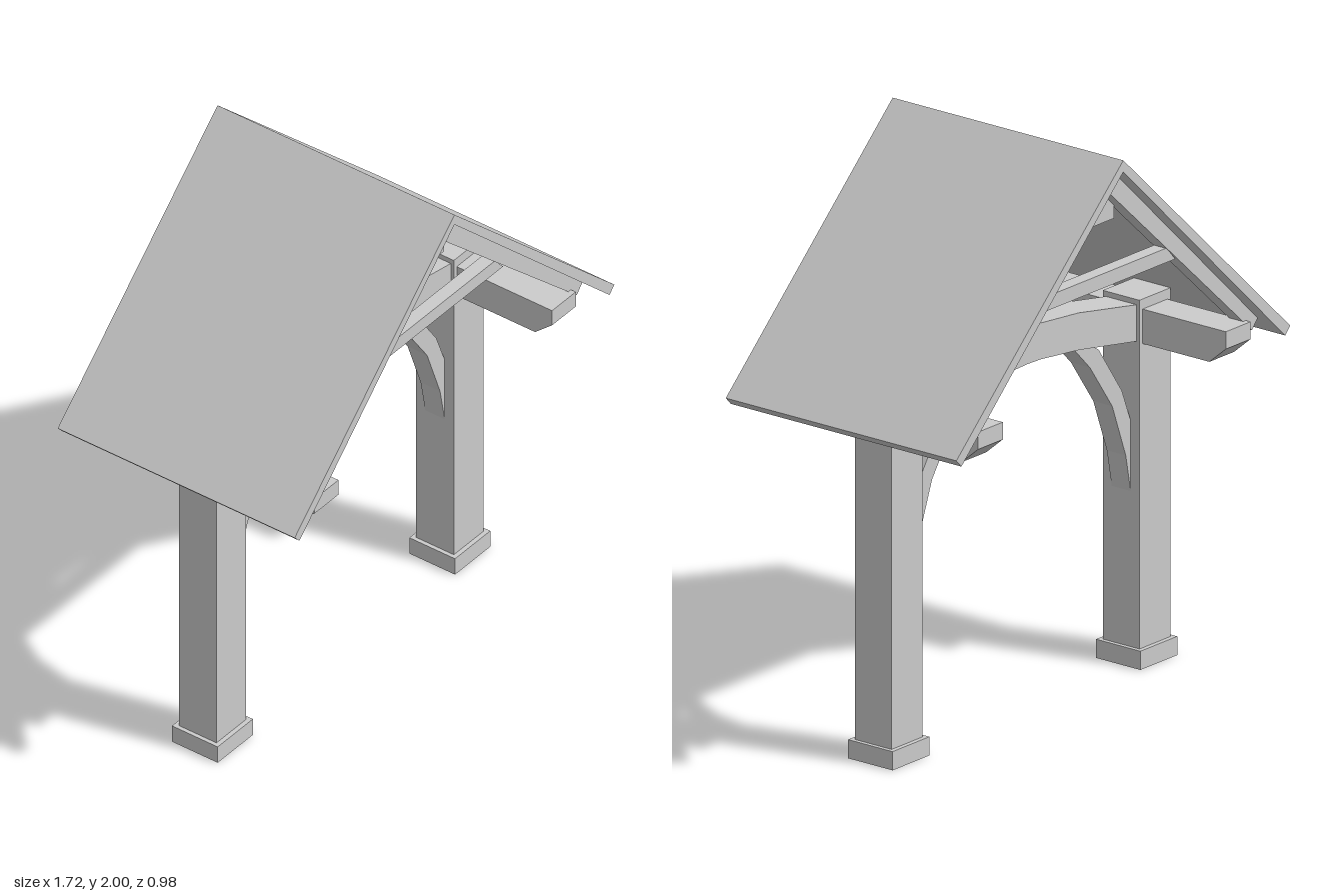
import * as THREE from 'three';

const material = new THREE.MeshStandardMaterial({ color: 0xcccccc, flatShading: true });
const FRAME_Z = -0.02; // depth position of the posts and arched truss

export function createModel() {
  const model = new THREE.Group();

  const add = (name, geometry, x = 0, y = 0, z = 0) => {
    const mesh = new THREE.Mesh(geometry, material);
    mesh.name = name;
    mesh.position.set(x, y, z);
    model.add(mesh);
    return mesh;
  };
  const box = (name, w, y0, y1, d, x = 0, z = 0) =>
    add(name, new THREE.BoxGeometry(w, y1 - y0, d), x, (y0 + y1) / 2, z);
  const shapeOf = (points) => new THREE.Shape(points.map(([x, y]) => new THREE.Vector2(x, y)));
  // Extrusion centred on its own depth
  const slab = (shape, depth) =>
    new THREE.ExtrudeGeometry(shape, { depth, bevelEnabled: false }).translate(0, 0, -depth / 2);
  const mirrorX = (points) => points.map(([x, y]) => [-x, y]);
  // Closes a right-hand outline with its reflection
  const symmetric = (top, bottom) => shapeOf([
    ...mirrorX(top).reverse(), ...top.filter(([x]) => x > 0),
    ...bottom.slice().reverse(), ...mirrorX(bottom).filter(([x]) => x < 0),
  ]);

  // Roof covering
  add('roof', slab(symmetric([[0, 2], [0.862, 1.192]], [[0, 1.96], [0.836, 1.165]]), 0.976));

  // Rafter pairs and collar ties near both gables
  for (const z of [-0.4, 0.4]) {
    add('rafters', slab(symmetric([[0, 1.961], [0.765, 1.232]], [[0, 1.872], [0.735, 1.198]]), 0.06), 0, 0, z);
    add('collarTie', slab(shapeOf([[-0.345, 1.55], [0.345, 1.55], [0.3, 1.6], [-0.3, 1.6]]), 0.05), 0, 0, z);
  }

  // Ridge beam with its top bevelled to the roof slope
  add('ridgeBeam', slab(shapeOf([
    [-0.077, 1.755], [0.077, 1.755], [0.077, 1.88], [0, 1.95], [-0.077, 1.88],
  ]), 0.77));

  // Arched tie beam and king post
  add('archedTieBeam', slab(symmetric(
    [[0, 1.33], [0.065, 1.328], [0.26, 1.31], [0.57, 1.255]],
    [[0, 1.204], [0.065, 1.202], [0.26, 1.181], [0.57, 1.128]],
  ), 0.13), 0, 0, FRAME_Z);
  box('kingPost', 0.124, 1.31, 1.77, 0.12, 0, FRAME_Z);

  // Outline of one curved brace, from post to tie beam
  const brace = [
    [0.56, 0.605], [0.535, 0.735], [0.465, 0.925], [0.35, 1.09], [0.26, 1.182],
    [0.33, 1.18], [0.395, 1.14], [0.515, 0.965], [0.56, 0.85],
  ];

  for (const side of [-1, 1]) {
    const x = side * 0.64;
    box('post', 0.16, 0.03, 1.275, 0.155, x, FRAME_Z);

    // Hollow footing collar
    const ring = shapeOf([[-0.095, -0.094], [0.095, -0.094], [0.095, 0.094], [-0.095, 0.094]]);
    ring.holes.push(shapeOf([[-0.052, -0.052], [-0.052, 0.052], [0.052, 0.052], [0.052, -0.052]]));
    add('footing', slab(ring, 0.065).rotateX(-Math.PI / 2), x, 0.0325, FRAME_Z);

    // Wall plate with chamfered lower ends
    const plate = shapeOf([
      [-0.38, 1.12], [0.38, 1.12], [0.45, 1.18], [0.45, 1.24], [-0.45, 1.24], [-0.45, 1.18],
    ]);
    add('wallPlate', slab(plate, 0.128).rotateY(Math.PI / 2), x);

    add('curvedBrace', slab(shapeOf(side > 0 ? brace : mirrorX(brace)), 0.08), 0, 0, FRAME_Z);
  }

  return model;
}
